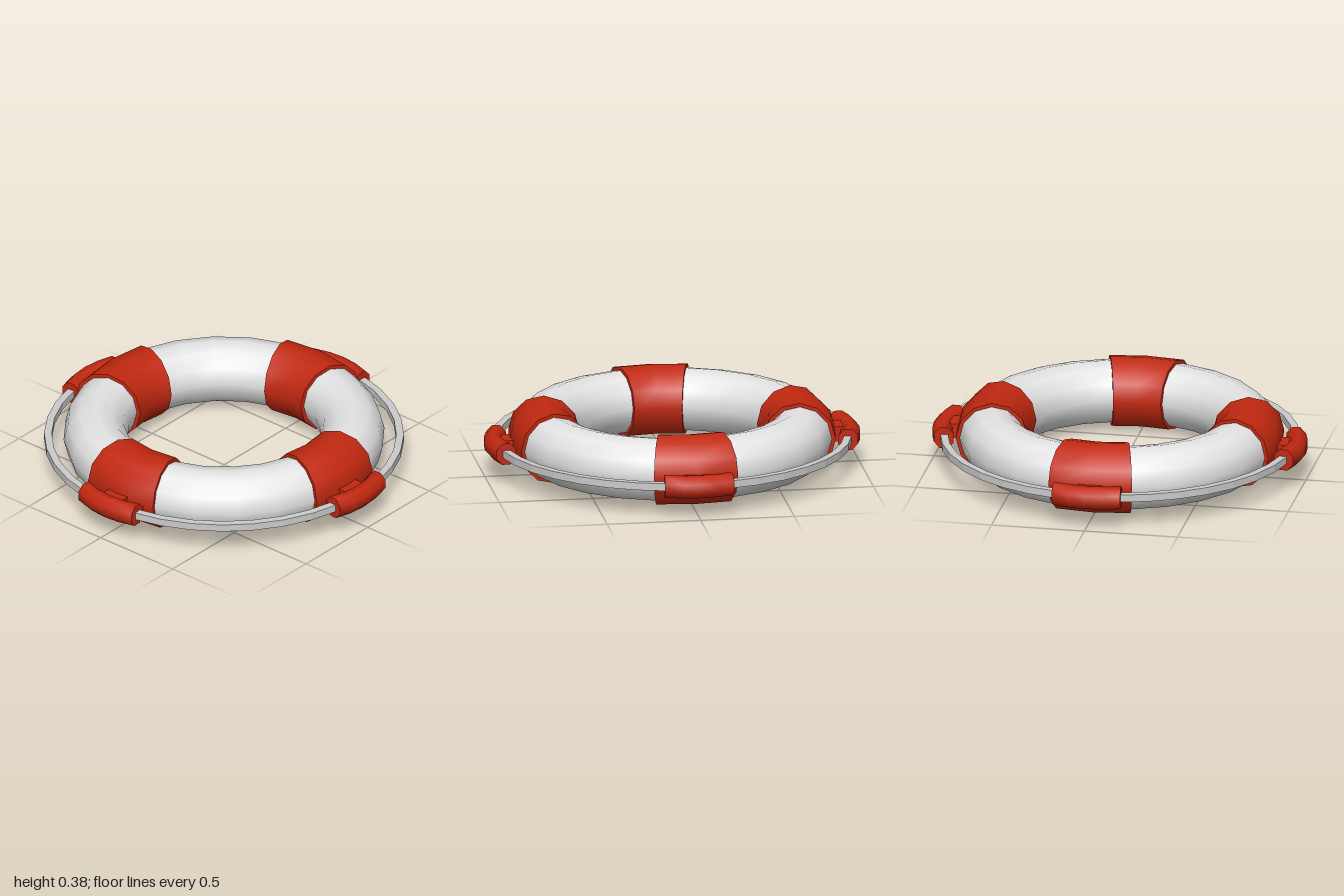
import * as THREE from 'three';

const red = new THREE.MeshStandardMaterial({ color: 0xc22810 });
red.name = 'red';
const white = new THREE.MeshStandardMaterial({ color: 0xe4e4e4 });
white.name = 'white';
const ropeGrey = new THREE.MeshStandardMaterial({ color: 0xcccccc });
ropeGrey.name = 'rope grey';

const RING_R = 0.68, RING_Y = 0.19, ROPE_R = 0.93, ROPE_Y = 0.17;
const BAND_ARC = Math.PI / 6;

function addMesh(parent, name, geometry, material) {
  const mesh = new THREE.Mesh(geometry, material);
  mesh.name = name;
  parent.add(mesh);
  return mesh;
}

// Wide sleeve around the ring, centred on +z, with closed ends
function addBand(parent) {
  const sleeve = new THREE.TorusGeometry(RING_R, 0.19, 12, 2, BAND_ARC);
  sleeve.rotateX(Math.PI / 2).rotateY(-Math.PI / 2 + BAND_ARC / 2);
  sleeve.translate(0, RING_Y, 0);
  addMesh(parent, 'bandSleeve', sleeve, red);
  for (const side of [-1, 1]) {
    const end = new THREE.RingGeometry(0.16, 0.19, 12);
    end.rotateY(side * Math.PI / 2).translate(0, RING_Y, RING_R);
    end.rotateY(side * BAND_ARC / 2);
    addMesh(parent, 'bandEnd', end, red);
  }
}

// Eight-sided grip on the rope, bowed outwards in the middle
function addGrip(parent) {
  const grip = new THREE.CylinderGeometry(0.0563, 0.0563, 0.36, 8, 4, false, Math.PI * 1.125);
  grip.rotateZ(Math.PI / 2).scale(1, 1.1, 1);
  const p = grip.attributes.position;
  for (let i = 0; i < p.count; i++) {
    const x = p.getX(i), z = p.getZ(i);
    p.setX(i, x * (1 + z * 0.5));
    p.setZ(i, z + 0.948 - 0.035 * (x / 0.18) ** 2);
  }
  grip.computeVertexNormals();
  grip.translate(0, ROPE_Y, 0);
  addMesh(parent, 'grip', grip, red);

  // Short link between band and grip
  const link = new THREE.BoxGeometry(0.13, 0.08, 0.1);
  link.translate(0, ROPE_Y, 0.88);
  addMesh(parent, 'gripLink', link, red);
}

export function createModel() {
  const model = new THREE.Group();
  model.name = 'lifebuoy';

  // Main float
  const ring = new THREE.TorusGeometry(RING_R, 0.17, 12, 24);
  ring.rotateX(Math.PI / 2).translate(0, RING_Y, 0);
  addMesh(model, 'floatRing', ring, white);

  // Square-section grab rope
  const h = 0.02;
  const section = [[-h, -h], [h, -h], [h, h], [-h, h], [-h, -h]]
    .map(([r, y]) => new THREE.Vector2(ROPE_R + r, ROPE_Y + y));
  const rope = new THREE.LatheGeometry(section, 36).toNonIndexed();
  rope.computeVertexNormals();
  addMesh(model, 'grabRope', rope, ropeGrey);

  // Four bands with grips, a quarter turn apart
  for (let i = 0; i < 4; i++) {
    const station = new THREE.Group();
    station.name = 'bandAndGrip' + (i + 1);
    addBand(station);
    addGrip(station);
    station.rotation.y = i * Math.PI / 2;
    model.add(station);
  }
  return model;
}
